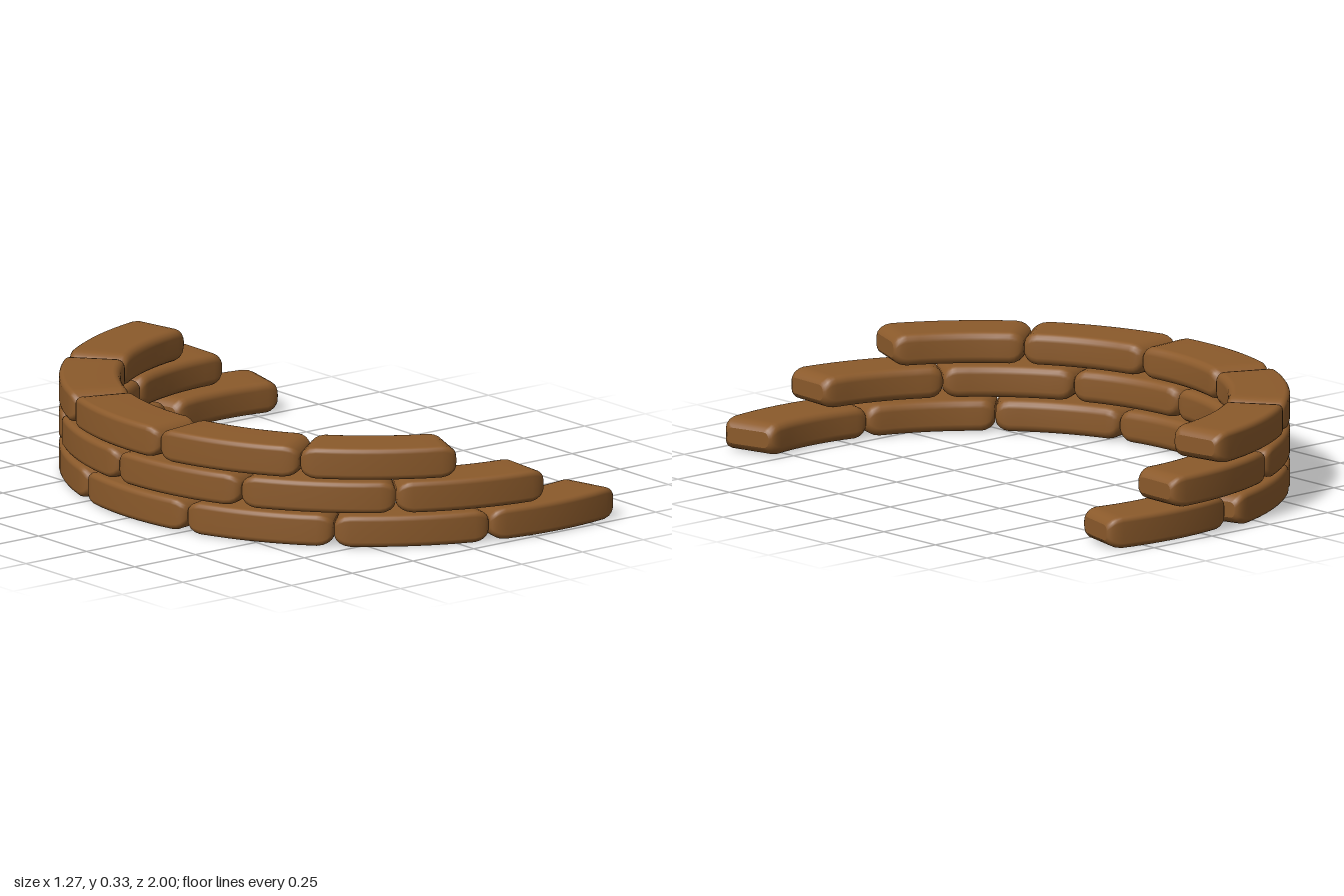
import * as THREE from 'three';

const CENTRE_X = 0.36, MID_R = 0.9, HALF_W = 0.1, HALF_H = 0.0525;
const STEP = THREE.MathUtils.degToRad(30);

// Brick cross-section (r outwards, y up): rectangle with rounded corners,
// softer on the inside of the ring. Counter-clockwise.
function section(hw, hh) {
  const corners = [[1, 1, 0.018], [-1, 1, 0.026], [-1, -1, 0.026], [1, -1, 0.018]];
  const pts = [];
  corners.forEach(([sx, sy, size], k) => {
    const r = Math.min(size, hh * 0.8);
    for (let i = 0; i <= 4; i++) {
      const a = (k + i / 4) * Math.PI / 2;
      pts.push([sx * (hw - r) + r * Math.cos(a), sy * (hh - r) + r * Math.sin(a)]);
    }
  });
  return pts;
}

// Taper at each end: [distance from end, half width, half height]
const TAPER = [
  [0.002, HALF_W - 0.02, 0.026],
  [0.007, HALF_W - 0.011, 0.034],
  [0.018, HALF_W - 0.005, 0.043],
  [0.032, HALF_W - 0.002, 0.0495],
  [0.05, HALF_W, HALF_H],
];

// Curved brick lofted along a 30 degree arc
function brickGeometry() {
  const half = STEP / 2;
  const stations = TAPER.map(([d, w, h]) => [-half + d / MID_R, w, h]);
  const inner = half - 0.05 / MID_R;
  for (let i = 1; i < 8; i++) stations.push([-inner + (2 * inner * i) / 8, HALF_W, HALF_H]);
  for (const [d, w, h] of [...TAPER].reverse()) stations.push([half - d / MID_R, w, h]);

  const pos = [], index = [];
  const put = (a, r, y) => pos.push((MID_R + r) * Math.cos(a), y, (MID_R + r) * Math.sin(a));
  const rings = stations.map(([a, w, h]) => ({ a, pts: section(w, h) }));
  const n = rings[0].pts.length;
  rings.forEach(({ a, pts }) => pts.forEach(([r, y]) => put(a, r, y)));
  for (let i = 0; i < rings.length - 1; i++) {
    for (let j = 0; j < n; j++) {
      const a = i * n + j, b = i * n + (j + 1) % n;
      index.push(a, b, a + n, b, b + n, a + n);
    }
  }
  // End caps
  for (const last of [false, true]) {
    const { a, pts } = rings[last ? rings.length - 1 : 0];
    const c = pos.length / 3;
    put(a, 0, 0);
    pts.forEach(([r, y]) => put(a, r, y));
    for (let j = 0; j < n; j++) {
      const p = c + 1 + j, q = c + 1 + (j + 1) % n;
      if (last) index.push(c, p, q);
      else index.push(c, q, p);
    }
  }
  const geo = new THREE.BufferGeometry();
  geo.setAttribute('position', new THREE.Float32BufferAttribute(pos, 3));
  geo.setIndex(index);
  geo.computeVertexNormals();
  return geo;
}

export function createModel() {
  const model = new THREE.Group();
  model.name = 'curvedBrickWall';
  const material = new THREE.MeshStandardMaterial({ color: 0x8b5a2b });
  const geometry = brickGeometry();

  // Three stepped courses, each staggered by about half a brick
  const courses = [
    { name: 'bottomCourse', y: 0.0525, start: 75, count: 7 },
    { name: 'middleCourse', y: 0.165, start: 93.2, count: 6 },
    { name: 'topCourse', y: 0.277, start: 111.5, count: 5 },
  ];
  for (const { name, y, start, count } of courses) {
    const course = new THREE.Group();
    course.name = name;
    course.position.set(CENTRE_X, y, 0);
    for (let i = 0; i < count; i++) {
      const brick = new THREE.Mesh(geometry, material);
      brick.name = 'brick';
      brick.rotation.y = -(THREE.MathUtils.degToRad(start) + (i + 0.5) * STEP);
      // The last brick of the bottom course sits slightly out of line
      if (name === 'bottomCourse' && i === count - 1) brick.position.set(0.02, 0, 0.03);
      course.add(brick);
    }
    model.add(course);
  }
  return model;
}
